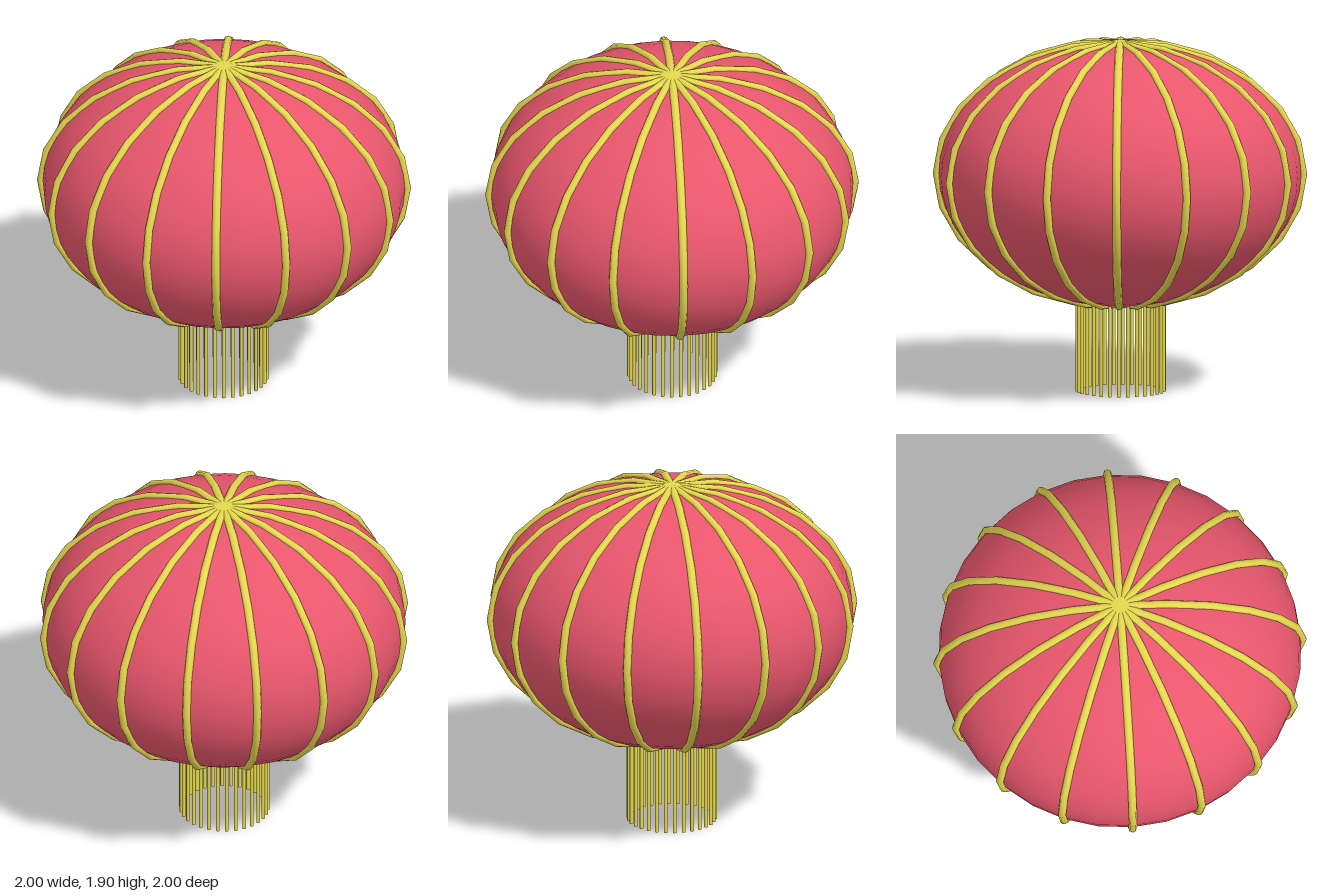
import * as THREE from 'three';

const CENTER_Y = 1.175;

export function createModel() {
  const group = new THREE.Group();
  const red = new THREE.MeshStandardMaterial({ color: 0xe8566c });
  const yellow = new THREE.MeshStandardMaterial({ color: 0xe6d84e });

  const add = (name, geometry, material, parent = group) => {
    const mesh = new THREE.Mesh(geometry, material);
    mesh.name = name;
    parent.add(mesh);
    return mesh;
  };

  // Squashed globe of the lantern
  const shade = new THREE.SphereGeometry(0.97, 32, 24);
  shade.scale(1, 0.727, 1);
  add('shade', shade, red).position.y = CENTER_Y;

  // Eight hoops crossing at the poles make sixteen ribs
  const ribs = new THREE.Group();
  ribs.name = 'ribs';
  ribs.position.y = CENTER_Y;
  group.add(ribs);
  const hoop = new THREE.TorusGeometry(0.978, 0.022, 8, 24);
  hoop.scale(1, 0.725, 1);
  for (let i = 0; i < 8; i++) {
    add('rib', hoop, yellow, ribs).rotation.y = (i * Math.PI) / 8;
  }

  // Ring of hanging fringe strands
  const fringe = new THREE.Group();
  fringe.name = 'fringe';
  fringe.position.x = -0.004;
  group.add(fringe);
  const STRANDS = 30;
  const strand = new THREE.CylinderGeometry(0.01, 0.01, 0.49, 8);
  for (let i = 0; i < STRANDS; i++) {
    const a = (i / STRANDS) * Math.PI * 2;
    add('fringeStrand', strand, yellow, fringe)
      .position.set(0.232 * Math.sin(a), 0.245, 0.232 * Math.cos(a));
  }

  return group;
}
